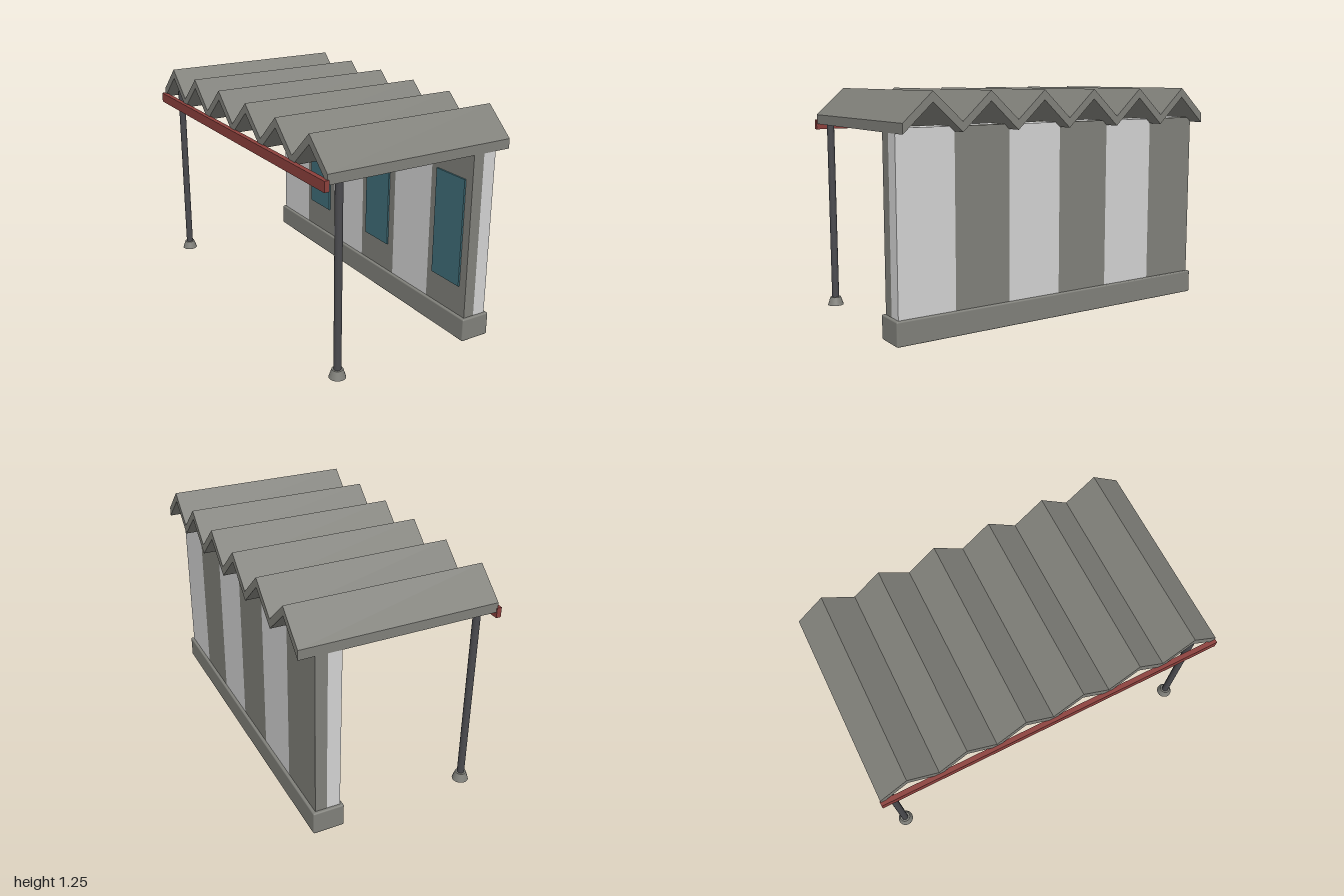
import * as THREE from 'three';
import { RoundedBoxGeometry } from 'three/addons/geometries/RoundedBoxGeometry.js';

function material(name, color) {
  const m = new THREE.MeshStandardMaterial({ color });
  m.name = name;
  return m;
}

export function createModel() {
  const concrete = material('concrete grey', 0x80807a);
  const white = material('pale panel', 0xd2d2d2);
  const steel = material('dark steel', 0x4a4a4e);
  const red = material('red beam', 0x8c403c);
  const glass = material('teal glass', 0x3f6d78);

  const model = new THREE.Group();
  model.name = 'shelter';

  const add = (name, geometry, mat, x, y, z) => {
    const mesh = new THREE.Mesh(geometry, mat);
    mesh.name = name;
    mesh.position.set(x, y, z);
    model.add(mesh);
    return mesh;
  };
  // Box given by its lower and upper limits on each axis
  const addBox = (name, mat, [x0, x1], [y0, y1], [z0, z1]) =>
    add(name, new THREE.BoxGeometry(x1 - x0, y1 - y0, z1 - z0), mat,
      (x0 + x1) / 2, (y0 + y1) / 2, (z0 + z1) / 2);

  const bays = 6, half = 0.983, bay = (2 * half) / bays;

  // Plinth under the wall
  add('plinth', new RoundedBoxGeometry(0.174, 0.131, 2, 2, 0.008), concrete, 0.397, 0.0655, 0);

  // Wall: each bay is grey on one face and pale on the other, alternating
  const wallY = [0.128, 1.077];
  for (let i = 0; i < bays; i++) {
    const z0 = -half + i * bay, z = [z0, z0 + bay];
    const greyInside = i % 2 === 1;
    const split = greyInside ? 0.392 : 0.402;
    addBox('innerPanel', greyInside ? concrete : white, [0.327, split], wallY, z);
    addBox('outerPanel', greyInside ? white : concrete, [split, 0.467], wallY, z);
    // Windows on the grey inner panels
    if (greyInside) {
      addBox('window', glass, [0.317, 0.3265], [0.302, 0.908], [z0 + 0.05, z0 + bay - 0.05]);
    }
  }

  // Folded roof: zigzag section extruded across the width
  const zigzag = [];
  for (let i = 0; i <= bays * 2; i++) {
    zigzag.push([-0.985 + (i * 1.97) / (bays * 2), i % 2 ? 1.254 : 1.104]);
  }
  const section = new THREE.Shape([
    ...zigzag.map(([z, y]) => new THREE.Vector2(z, y)),
    ...zigzag.reverse().map(([z, y]) => new THREE.Vector2(z, y - 0.053)),
  ]);
  const roof = new THREE.ExtrudeGeometry(section, { depth: 1.095, bevelEnabled: false });
  roof.rotateY(Math.PI / 2);
  add('foldedRoof', roof, concrete, -0.54, 0, 0);

  // Edge beam along the open side
  addBox('edgeBeam', red, [-0.56, -0.533], [1.02, 1.076], [-0.99, 0.99]);

  // Posts with conical feet
  for (const z of [-0.94, 0.94]) {
    add('post', new THREE.CylinderGeometry(0.02, 0.02, 1.085, 20), steel, -0.449, 0.5425, z);
    add('postFoot', new THREE.CylinderGeometry(0.03, 0.045, 0.046, 20), concrete, -0.449, 0.023, z);
  }

  return model;
}
